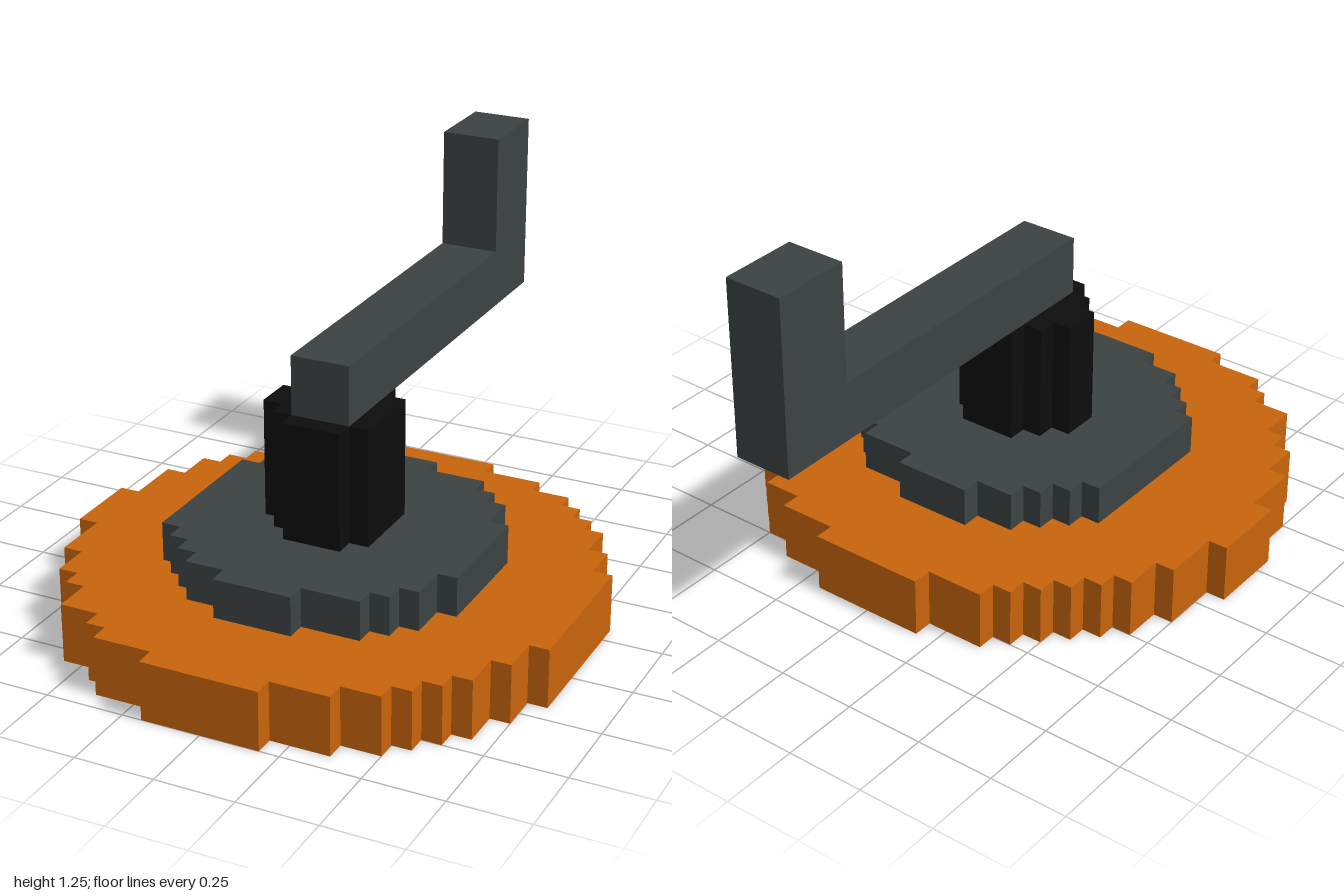
import * as THREE from 'three';

const U = 1 / 16; // one grid step

// Walks one side of a stepped disc from back to front.
// steps: [half width, z start, z end], narrowest first.
function sidePoints(steps, sign) {
  const back = [], front = [];
  steps.forEach(([w, z0, z1], i) => {
    if (i > 0) {
      back.push([steps[i - 1][0], z0]);
      front.unshift([steps[i - 1][0], z1]);
    }
    back.push([w, z0]);
    // keep the outer corner before the inner one when walking forward
    front.splice(0, 0, [w, z1]);
  });
  return back.concat(front).map(([w, z]) => [w * sign, z]);
}

function steppedDisc(name, right, left, y0, y1, material) {
  const outline = sidePoints(right, 1).concat(sidePoints(left, -1).reverse());
  const points = outline
    .filter((p, i) => i === 0 || p[0] !== outline[i - 1][0] || p[1] !== outline[i - 1][1])
    .map(([x, z]) => new THREE.Vector2(x * U, -z * U));
  const geometry = new THREE.ExtrudeGeometry(new THREE.Shape(points), {
    depth: (y1 - y0) * U, bevelEnabled: false,
  });
  geometry.rotateX(-Math.PI / 2);
  geometry.translate(0, y0 * U, 0);
  const mesh = new THREE.Mesh(geometry, material);
  mesh.name = name;
  return mesh;
}

export function createModel() {
  const orange = new THREE.MeshStandardMaterial({ color: 0xc8640c });
  orange.name = 'orange';
  const slate = new THREE.MeshStandardMaterial({ color: 0x3c4242 });
  slate.name = 'slate grey';
  const black = new THREE.MeshStandardMaterial({ color: 0x0d0d0d });
  black.name = 'black';

  const group = new THREE.Group();
  group.name = 'crankValve';

  // Wide base disc
  group.add(steppedDisc('baseDisc',
    [[3, -10, 16], [6, -9, 15], [8, -8, 14], [9, -7, 13], [10, -6, 12], [11, -5, 11], [12, -3, 9], [13, -1, 7]],
    [[3, -10, 16], [6, -9, 15], [7, -8, 14], [8, -7, 13], [9, -6, 13], [10, -5, 11], [11, -4, 10], [12, -2, 8], [13, 1, 5]],
    0, 3, orange));

  // Smaller collar disc
  group.add(steppedDisc('collarDisc',
    [[2, -5, 11], [5, -4, 10], [6, -3, 9], [7, -2, 8], [8, 0, 6]],
    [[2, -5, 11], [4, -4, 10], [5, -3, 9], [6, -2, 8], [7, -1, 7]],
    3, 5, slate));

  // Upright shaft
  group.add(steppedDisc('shaft',
    [[2, 0, 6], [3, 1, 5]],
    [[1, 0, 6], [2, 1, 5], [3, 2, 4]],
    5, 11, black));

  // L-shaped crank: side profile (z, y) extruded across x
  const profile = [[5, 11], [5, 14], [-12, 14], [-12, 20], [-16, 20], [-16, 11]]
    .map(([z, y]) => new THREE.Vector2(-z * U, y * U));
  const crankGeometry = new THREE.ExtrudeGeometry(new THREE.Shape(profile), {
    depth: 3 * U, bevelEnabled: false,
  });
  crankGeometry.rotateY(Math.PI / 2);
  crankGeometry.translate(-U, 0, 0);
  const crank = new THREE.Mesh(crankGeometry, slate);
  crank.name = 'crankHandle';
  group.add(crank);

  return group;
}
